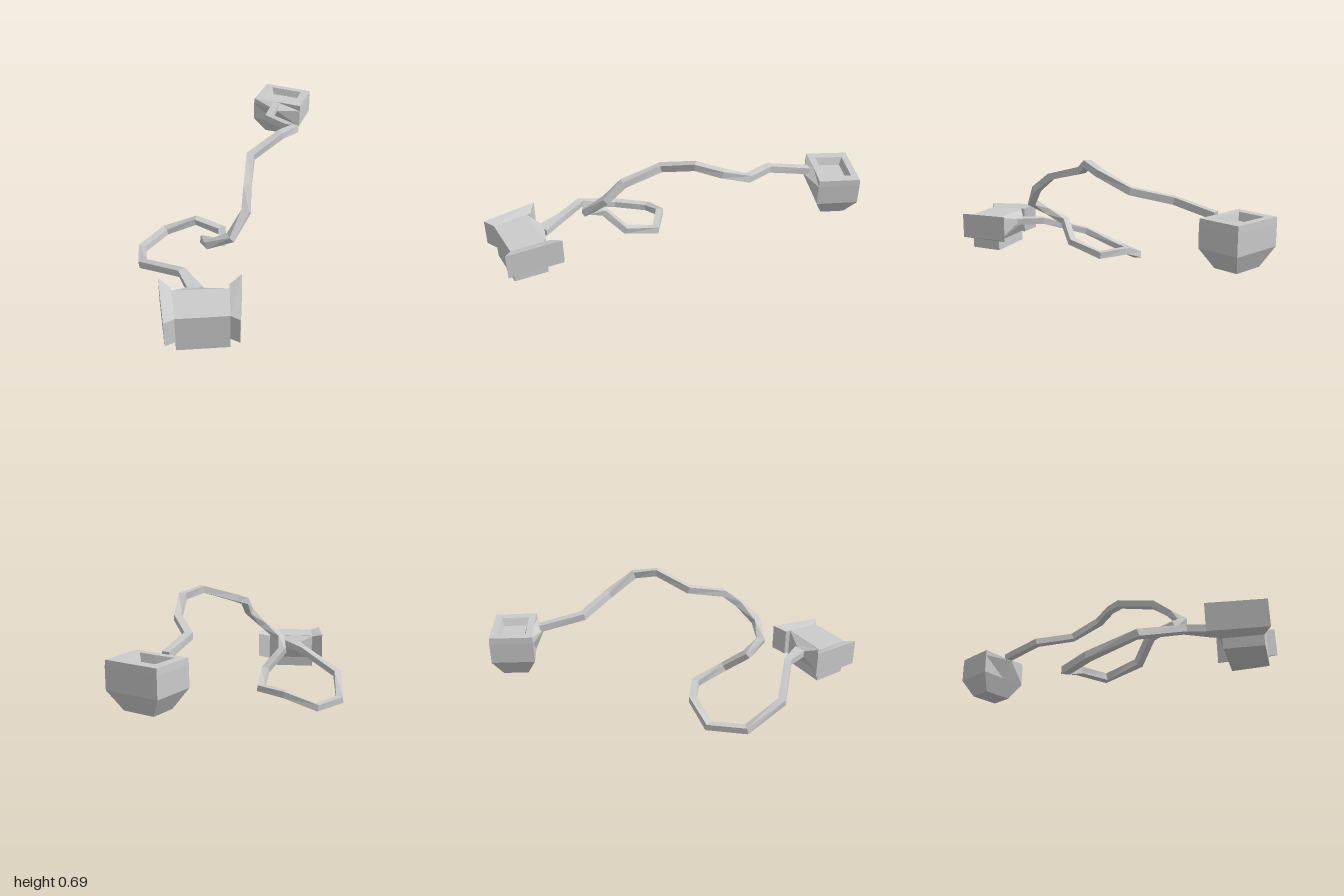
import * as THREE from 'three';

const material = new THREE.MeshStandardMaterial({ color: 0xcccccc, flatShading: true });

// Closed low-poly skin through a list of equal-sized point rings, capped at both ends
function loft(name, rings) {
  const tris = [];
  const n = rings[0].length;
  for (let i = 0; i < rings.length - 1; i++) {
    for (let j = 0; j < n; j++) {
      const k = (j + 1) % n;
      const a = rings[i][j], b = rings[i][k], c = rings[i + 1][k], d = rings[i + 1][j];
      tris.push([a, b, c], [a, c, d]);
    }
  }
  const first = rings[0], last = rings[rings.length - 1];
  for (let j = 1; j < n - 1; j++) {
    tris.push([first[0], first[j + 1], first[j]], [last[0], last[j], last[j + 1]]);
  }
  // Turn the skin outward whatever the ring direction
  const V = (p) => new THREE.Vector3(...p);
  const volume = tris.reduce((s, [a, b, c]) => s + V(a).dot(V(b).cross(V(c))), 0);
  const pos = tris.flatMap(([a, b, c]) => (volume < 0 ? [a, c, b] : [a, b, c])).flat();
  const geometry = new THREE.BufferGeometry();
  geometry.setAttribute('position', new THREE.Float32BufferAttribute(pos, 3));
  geometry.computeVertexNormals();
  const mesh = new THREE.Mesh(geometry, material);
  mesh.name = name;
  return mesh;
}

// Square cable swept along a bent path with mitred corners
function makeCable() {
  const path = [
    [-0.195, 0.205, 0.71], [-0.27, 0.205, 0.565], [-0.49, 0.11, 0.38], [-0.515, 0.02, 0.14],
    [-0.39, 0.02, -0.025], [-0.21, 0.09, -0.025], [-0.06, 0.09, 0.075], [-0.065, 0.15, 0.26],
    [-0.155, 0.25, 0.355], [-0.13, 0.305, 0.465], [-0.02, 0.375, 0.5], [0.06, 0.475, 0.42],
    [0.07, 0.555, 0.32], [0.095, 0.61, 0.11], [0.26, 0.675, -0.005], [0.347, 0.65, -0.11],
    [0.335, 0.565, -0.28], [0.232, 0.515, -0.478], [0.29, 0.47, -0.71],
  ].map((p) => new THREE.Vector3(...p));
  const up = new THREE.Vector3(0, 1, 0);
  const rings = path.map((p, i) => {
    const before = p.clone().sub(path[Math.max(i - 1, 0)]);
    const after = path[Math.min(i + 1, path.length - 1)].clone().sub(p);
    if (i === 0) before.copy(after);
    if (i === path.length - 1) after.copy(before);
    const tangent = before.clone().normalize().add(after.clone().normalize()).normalize();
    const turn = before.clone().setY(0).angleTo(after.clone().setY(0));
    const miter = Math.min(1 / Math.cos(turn / 2), 1.35);
    const side = tangent.clone().cross(up).normalize();
    const rise = side.clone().cross(tangent).multiplyScalar(0.019);
    side.multiplyScalar(i === 0 ? 0.037 : 0.02 * miter);
    return [[1, 1], [-1, 1], [-1, -1], [1, -1]].map(([s, r]) =>
      p.clone().addScaledVector(side, s).addScaledVector(rise, r).toArray());
  });
  return loft('cable', rings);
}

// Tapered pot with a recessed top and a small lip where the cable joins
function makePot() {
  const cx = 0.347, cz = -0.84;
  const corners = [[0.255, -1], [0.53, -0.885], [0.443, -0.675], [0.3, -0.737], [0.16, -0.79]];
  const ring = (y, scale, lip = false) => corners.map(([x, z], i) =>
    lip && i === 3 ? [0.3, y, -0.682] : [cx + (x - cx) * scale, y, cz + (z - cz) * scale]);
  return loft('pot', [
    ring(0.24, 0.58), ring(0.34, 1), ring(0.45, 1, true),
    ring(0.485, 0.985), ring(0.485, 0.66), ring(0.445, 0.54),
  ]);
}

// Plug block with a flared wing on each side and a funnel into the cable
function makePlug() {
  const plug = new THREE.Group();
  plug.name = 'plug';
  const outline = [[-0.29, 0.95], [-0.03, 0.935], [-0.025, 0.745], [-0.315, 0.755]];
  const level = (y) => outline.map(([x, z]) => [x, y, z]);
  plug.add(loft('plugBody', [level(0.05), level(0.255)]));

  plug.add(loft('rightWing', [
    [[-0.29, 0.255, 0.95], [-0.315, 0.255, 0.735], [-0.315, 0.105, 0.735], [-0.29, 0.105, 0.95]],
    [[-0.34, 0.267, 0.99], [-0.38, 0.277, 0.69], [-0.38, 0.125, 0.69], [-0.34, 0.12, 0.99]],
  ]));
  plug.add(loft('leftWing', [
    [[-0.03, 0.255, 0.935], [-0.03, 0.255, 0.715], [-0.03, 0.105, 0.715], [-0.03, 0.105, 0.935]],
    [[0.015, 0.267, 0.975], [0.033, 0.277, 0.667], [0.033, 0.13, 0.667], [0.015, 0.12, 0.975]],
  ]));
  plug.add(loft('cableFunnel', [
    [[-0.312, 0.255, 0.757], [-0.028, 0.255, 0.747], [-0.028, 0.105, 0.747], [-0.312, 0.105, 0.757]],
    [[-0.24, 0.224, 0.7], [-0.155, 0.224, 0.705], [-0.155, 0.186, 0.705], [-0.24, 0.186, 0.7]],
  ]));
  return plug;
}

export function createModel() {
  const model = new THREE.Group();
  model.name = 'cableWithPlugAndPot';
  model.add(makePlug(), makeCable(), makePot());
  return model;
}
